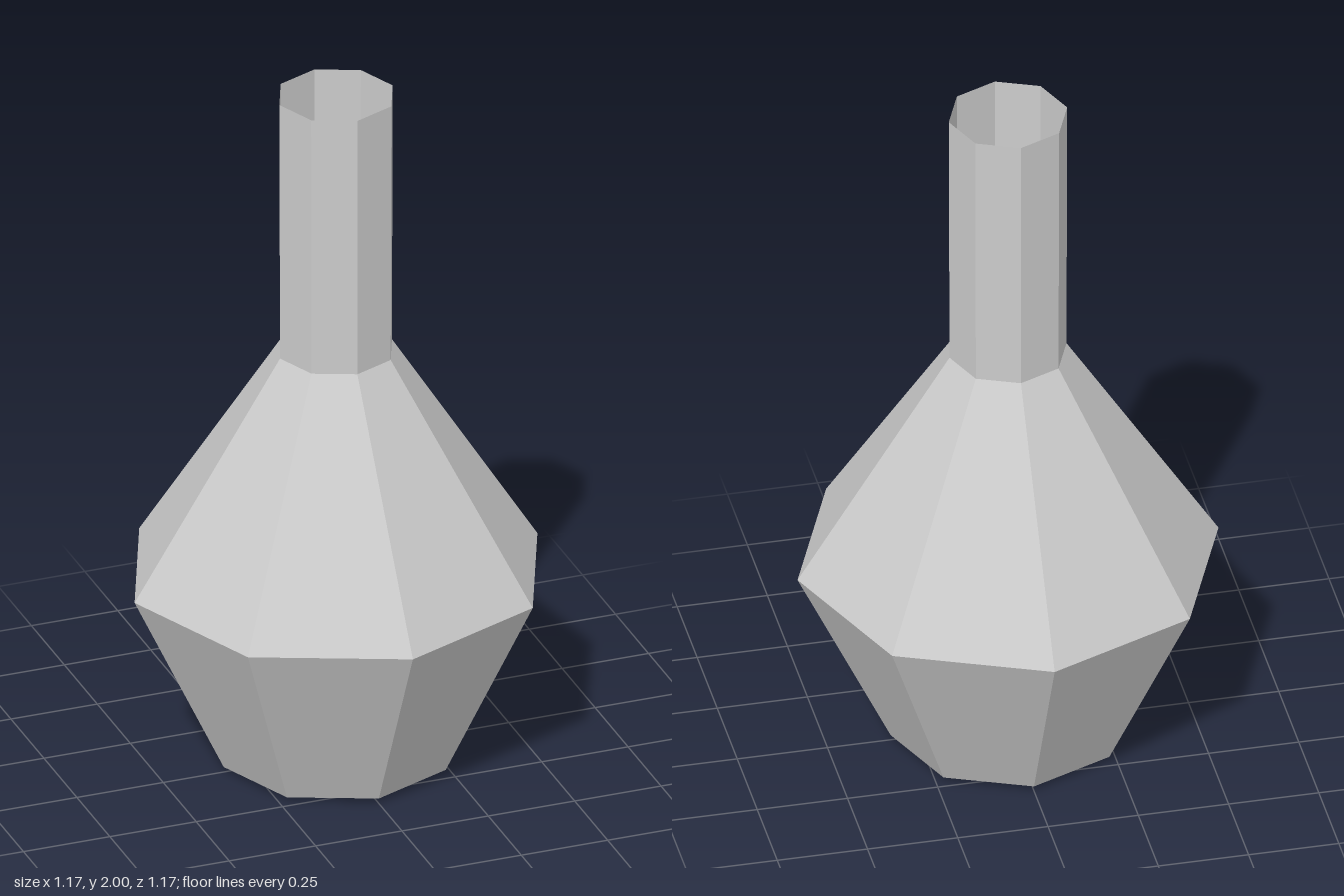
import * as THREE from 'three';

const SIDES = 8;

// Faceted open shell turned around y; profile is [radius, height] from bottom to top
function turned(name, profile, material) {
  const points = profile.map(([r, y]) => new THREE.Vector2(r, y));
  const mesh = new THREE.Mesh(new THREE.LatheGeometry(points, SIDES), material);
  mesh.name = name;
  return mesh;
}

export function createModel() {
  const group = new THREE.Group();
  group.name = 'flask';
  const material = new THREE.MeshStandardMaterial({
    color: 0xcccccc, flatShading: true, side: THREE.DoubleSide,
  });

  // Slightly bulging base
  group.add(turned('base', [[0, 0.005], [0.325, 0.02]], material));
  // Belly widening to a sharp waist, then tapering up to the shoulder
  group.add(turned('belly', [[0.325, 0.02], [0.583, 0.565], [0.162, 1.23]], material));
  // Long neck, open at the top
  group.add(turned('neck', [[0.162, 1.23], [0.164, 2]], material));

  return group;
}
